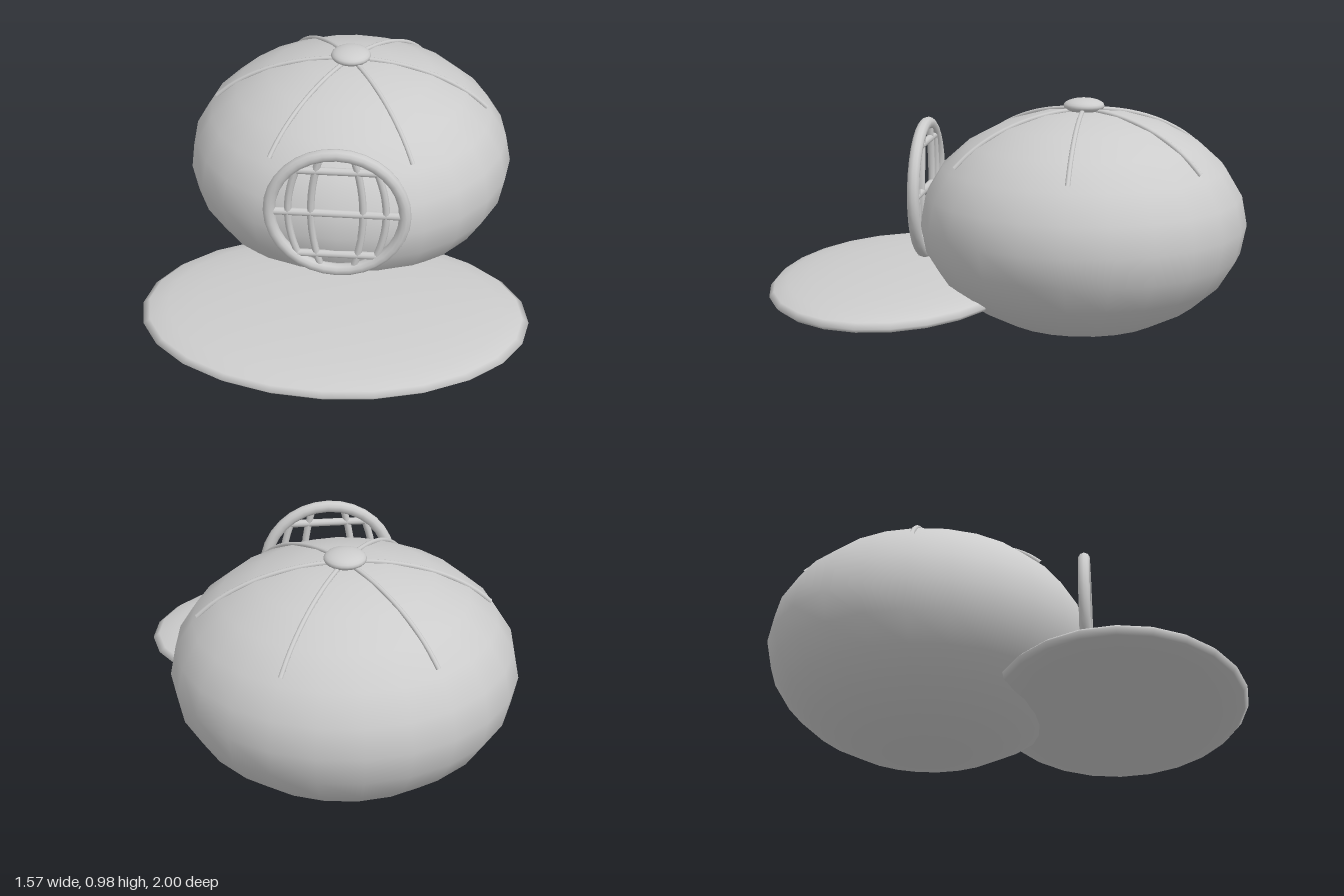
import * as THREE from 'three';

export function createModel() {
  const group = new THREE.Group();
  const grey = new THREE.MeshStandardMaterial({ color: 0xcccccc });
  grey.name = 'light grey';

  const add = (name, geometry, x = 0, y = 0, z = 0, parent = group) => {
    const mesh = new THREE.Mesh(geometry, grey);
    mesh.name = name;
    mesh.position.set(x, y, z);
    parent.add(mesh);
    return mesh;
  };
  const ellipsoid = (rx, ry, rz) => new THREE.SphereGeometry(1, 24, 12).scale(rx, ry, rz);

  // Crown, brim and top button
  const crown = { x: 0.7, y: 0.468, z: 0.68, cy: 0.47, cz: -0.32 };
  add('crown', ellipsoid(crown.x, crown.y, crown.z), 0, crown.cy, crown.cz);
  add('brim', ellipsoid(0.787, 0.075, 0.53), 0, 0.188, 0.47);
  add('button', ellipsoid(0.085, 0.032, 0.085), 0, 0.953, crown.cz);

  // Six raised seams running down the crown
  for (let i = 0; i < 6; i++) {
    const a = (i * Math.PI) / 3;
    const points = [];
    for (let j = 0; j <= 8; j++) {
      const t = 0.04 + (j / 8) * 0.95;
      points.push(new THREE.Vector3(
        crown.x * Math.sin(t) * Math.cos(a),
        crown.y * Math.cos(t),
        crown.z * Math.sin(t) * Math.sin(a)));
    }
    const path = new THREE.CatmullRomCurve3(points);
    add('seam' + (i + 1), new THREE.TubeGeometry(path, 16, 0.01, 8), 0, crown.cy, crown.cz);
  }

  // Globe badge: outer ring, parallels and curved meridians
  const badge = new THREE.Group();
  badge.name = 'globeBadge';
  badge.position.set(0, 0.589, 0.346);
  group.add(badge);
  add('badgeRing', new THREE.TorusGeometry(0.274, 0.025, 10, 32), 0, 0, 0, badge);

  for (const [y, length] of [[0, 0.57], [0.198, 0.37], [-0.198, 0.37]]) {
    const bar = new THREE.CylinderGeometry(0.016, 0.016, length, 10).rotateZ(Math.PI / 2);
    add('parallel', bar, 0, y, 0, badge);
  }
  for (const side of [-1, 1]) {
    for (const [mid, end, h] of [[0.105, 0.07, 0.25], [0.198, 0.15, 0.225]]) {
      const path = new THREE.QuadraticBezierCurve3(
        new THREE.Vector3(side * end, h, 0),
        new THREE.Vector3(side * (2 * mid - end), 0, 0),
        new THREE.Vector3(side * end, -h, 0));
      add('meridian', new THREE.TubeGeometry(path, 12, 0.015, 8), 0, 0, 0, badge);
    }
  }
  return group;
}
